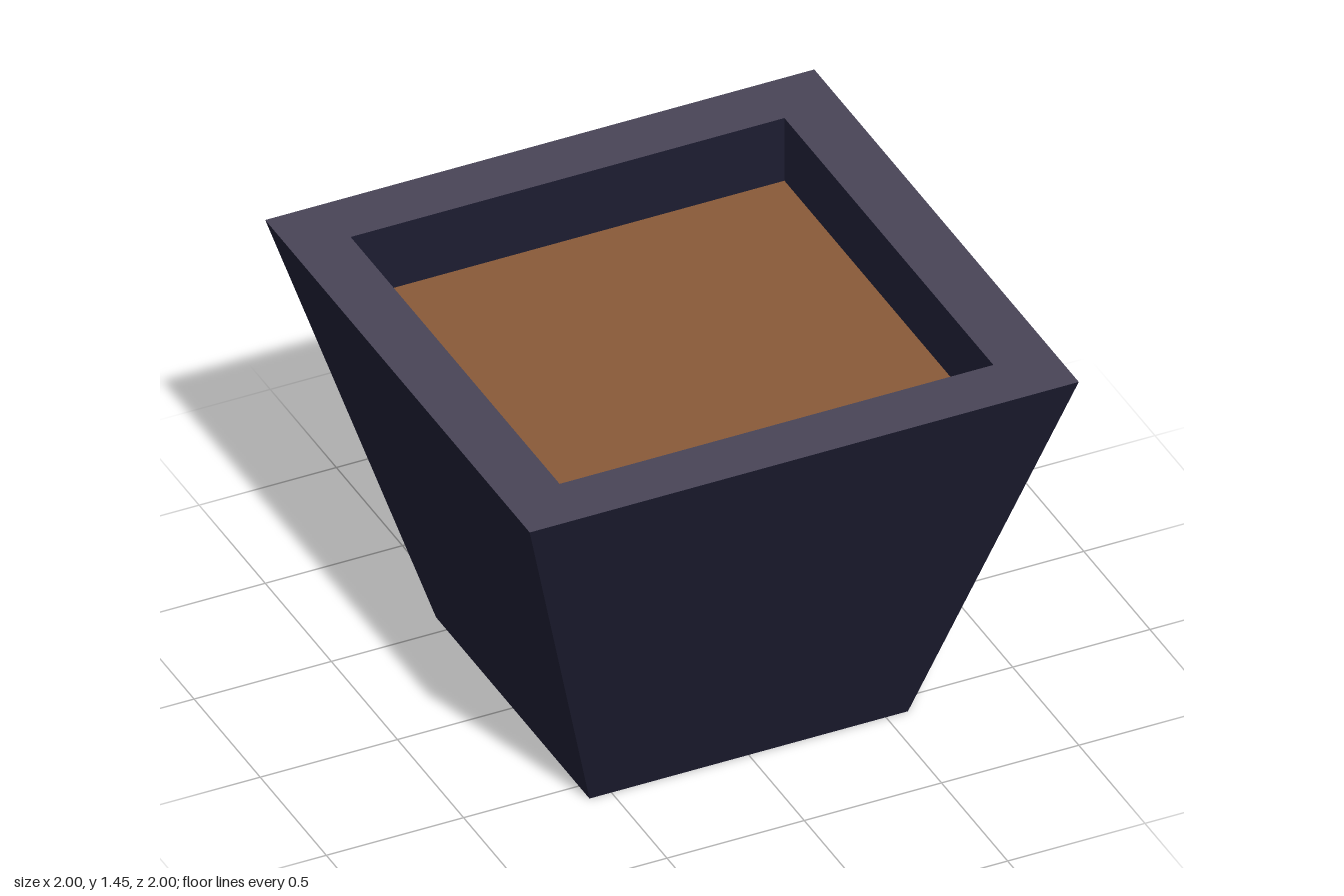
import * as THREE from 'three';

const HEIGHT = 1.45, TOP = 1, BOTTOM = 0.58, INNER = 0.79, SOIL_Y = 1.2;

// Four flat walls between two square outlines given by their half widths
function squareWalls(topHalf, bottomHalf, y0, y1, inward = false) {
  const g = new THREE.CylinderGeometry(
    topHalf * Math.SQRT2, bottomHalf * Math.SQRT2, y1 - y0, 4, 1, true);
  g.rotateY(Math.PI / 4);
  g.translate(0, (y0 + y1) / 2, 0);
  if (inward) g.scale(-1, 1, 1); // mirroring turns the faces inwards
  const flat = g.toNonIndexed();
  flat.computeVertexNormals();
  return flat;
}

// Square outline, usable as a shape or a hole
function square(half, Type) {
  const s = new Type();
  s.moveTo(-half, -half);
  s.lineTo(half, -half);
  s.lineTo(half, half);
  s.lineTo(-half, half);
  s.closePath();
  return s;
}

export function createModel() {
  const group = new THREE.Group();
  group.name = 'planter';

  const pot = new THREE.MeshStandardMaterial({ color: 0x1c1c30 });
  pot.name = 'dark navy';
  const rimColor = new THREE.MeshStandardMaterial({ color: 0x484456 });
  rimColor.name = 'grey violet';
  const soilColor = new THREE.MeshStandardMaterial({ color: 0x885938 });
  soilColor.name = 'soil brown';

  const add = (name, geometry, material) => {
    const mesh = new THREE.Mesh(geometry, material);
    mesh.name = name;
    group.add(mesh);
  };

  // Tapered pot body and its underside
  add('outerWalls', squareWalls(TOP, BOTTOM, 0, HEIGHT), pot);
  add('base', new THREE.PlaneGeometry(2 * BOTTOM, 2 * BOTTOM).rotateX(Math.PI / 2), pot);

  // Upright walls of the recess
  add('innerWalls', squareWalls(INNER, INNER, SOIL_Y, HEIGHT, true), pot);

  // Flat rim with a square opening
  const rim = square(TOP, THREE.Shape);
  rim.holes.push(square(INNER, THREE.Path));
  add('rim', new THREE.ShapeGeometry(rim).rotateX(-Math.PI / 2).translate(0, HEIGHT, 0), rimColor);

  // Soil filling the recess
  add('soil', new THREE.PlaneGeometry(2 * INNER, 2 * INNER)
    .rotateX(-Math.PI / 2).translate(0, SOIL_Y, 0), soilColor);

  return group;
}
